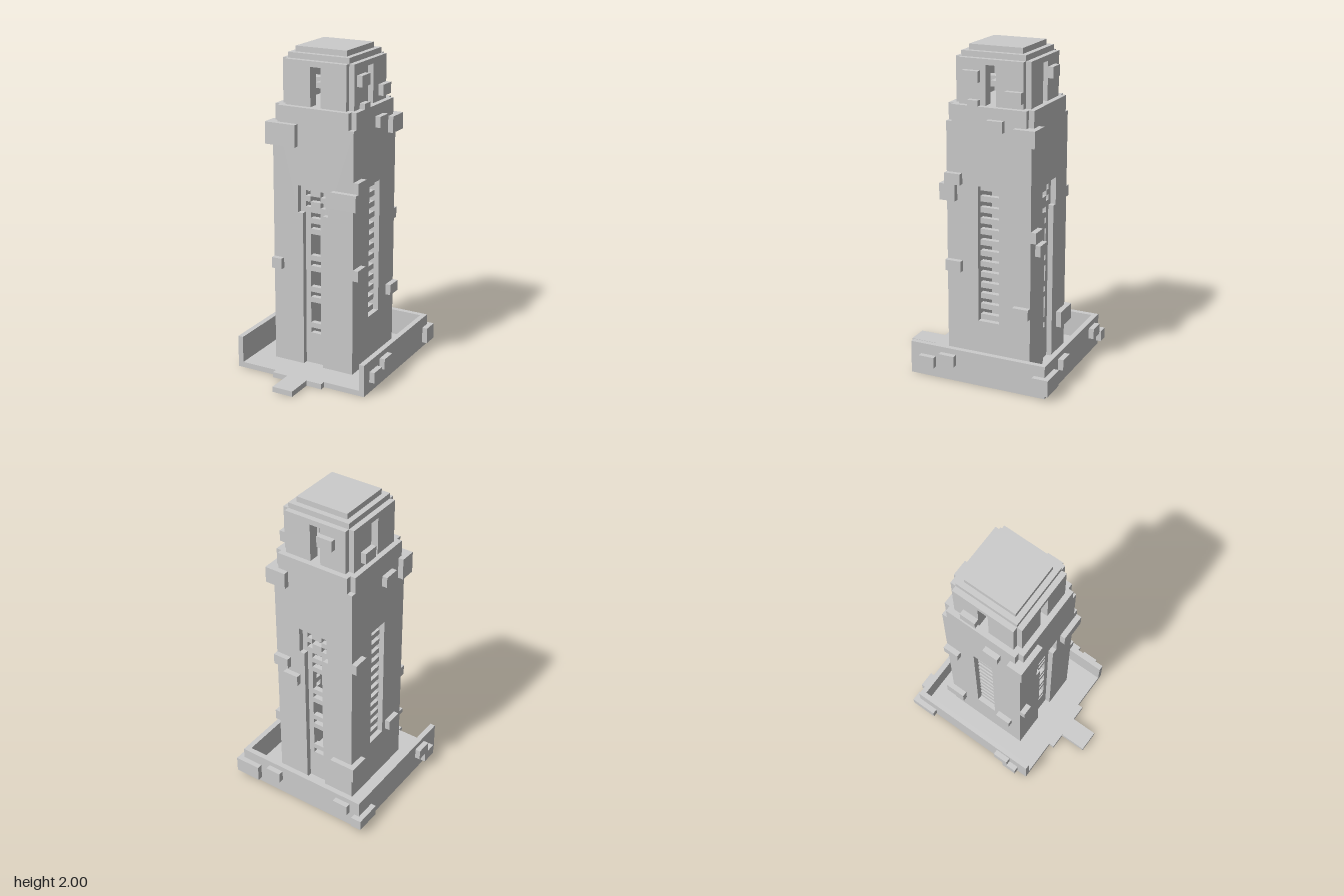
import * as THREE from 'three';

// Everything sits on a whole-number grid; the tower is 59 cells tall.
const U = 2 / 59;

export function createModel() {
  const model = new THREE.Group();
  const tower = new THREE.Group();
  tower.name = 'bellTower';
  tower.scale.setScalar(U);
  tower.position.z = -2.5 * U;
  model.add(tower);
  const material = new THREE.MeshStandardMaterial({ color: 0xcccccc, flatShading: true });

  const add = (name, geometry) => {
    const mesh = new THREE.Mesh(geometry, material);
    mesh.name = name;
    tower.add(mesh);
    return mesh;
  };
  const box = (name, x0, x1, y0, y1, z0, z1) =>
    add(name, new THREE.BoxGeometry(x1 - x0, y1 - y0, z1 - z0))
      .position.set((x0 + x1) / 2, (y0 + y1) / 2, (z0 + z1) / 2);

  const points = (list) => list.map(([x, y]) => new THREE.Vector2(x, y));
  const rect = (x0, x1, y0, y1) => [[x0, y0], [x1, y0], [x1, y1], [x0, y1]];
  // Symmetric outline from its right half, listed bottom to top
  const mirrored = (half) => [...half, ...half.map(([x, y]) => [-x, y]).reverse()];
  // One-cell-thick wall with openings, at distance d from the centre, facing a quarter turn
  const panel = (name, outline, holes, d, turn) => {
    const shape = new THREE.Shape(points(outline));
    holes.forEach((h) => shape.holes.push(new THREE.Path(points(h))));
    const g = new THREE.ExtrudeGeometry(shape, { depth: 1, bevelEnabled: false });
    g.translate(0, 0, d);
    g.rotateY(turn * Math.PI / 2);
    add(name, g);
  };

  // Base: floor, doorstep, path and low walls open at the front
  box('baseFloor', -13, 13, 0, 1, -13, 13);
  box('doorstep', -5, 5, 0, 1, 13, 14);
  box('path', -2, 2, 0, 1, 14, 19);
  box('baseBackWall', -13, 13, 1, 6, -13, -12);
  for (const x of [-13, 12]) box('baseSideWall', x, x + 1, 1, 6, -12, 13);

  // Front and back: keyhole recess in the outer skin, window grille behind it
  const keyholeSkin = mirrored([[2, 1], [8, 1], [8, 46], [7, 46], [7, 49]]);
  keyholeSkin.push([-2, 30], [-3, 30], [-3, 35], [3, 35], [3, 30], [2, 30]);
  const grille = [[7, 8], [9, 13], [14, 15], [16, 19], [20, 21], [22, 26], [27, 28], [29, 30], [32, 33]]
    .map(([a, b]) => rect(-1, 1, a, b));
  for (const y of [31, 33]) for (const x of [-2, 1]) grille.push(rect(x, x + 1, y, y + 1));
  for (const turn of [0, 2]) {
    panel('keyholeWall', keyholeSkin, [], 7, turn);
    panel('windowGrille', rect(-7, 7, 1, 49), grille, 6, turn);
  }

  // Sides: tall louvred recess
  const slots = [];
  for (let y = 11; y < 35; y += 2) slots.push(rect(-2, 2, y, y + 1));
  for (const turn of [1, 3]) {
    panel('sideWall', rect(-7, 7, 1, 49), [rect(-2, 2, 10, 35)], 7, turn);
    panel('louvres', rect(-6, 6, 1, 49), slots, 6, turn);
  }
  box('belfryFloor', -6, 6, 48, 49, -6, 6);

  // Belfry with a tall opening on each side and notched corners
  const arch = mirrored([[1, 49], [6, 49], [6, 57]]);
  arch.push([-1, 56], [1, 56]);
  const archInner = mirrored([[1, 49], [5, 49], [5, 57]]);
  archInner.push([-1, 56], [1, 56]);
  for (let turn = 0; turn < 4; turn++) {
    panel('belfryWall', arch, [], 6, turn);
    panel('belfryInnerWall', turn % 2 ? archInner : arch, [], 5, turn);
  }
  box('bellBeam', -5, 5, 52, 53, -1, 1);
  box('bellCrossBeam', -1, 1, 52, 53, -5, 5);
  box('belfryCeiling', -5, 5, 56, 57, -5, 5);
  box('roofLower', -6, 6, 57, 58, -6, 6);
  box('roofUpper', -5, 5, 58, 59, -5, 5);

  // Stones standing one cell proud of a flat wall
  const stones = [
    [8, 9, 35, 37, 5, 8], [8, 9, 19, 21, 5, 8], [-8, -6, 19, 21, 8, 9],
    [8, 9, 45, 47, -3, 0], [8, 9, 12, 14, -8, -5],
    [5, 8, 26, 28, -9, -8], [3, 6, 23, 25, -9, -8],
    [-9, -8, 30, 32, -8, -5], [-9, -8, 43, 45, 1, 4], [-9, -8, 10, 12, 3, 6],
    // belfry
    [7, 8, 53, 55, 2, 5], [7, 8, 50, 52, -6, -3], [7, 8, 49, 50, 2, 4],
    [-4, -1, 53, 55, -8, -7], [-8, -7, 50, 52, -4, -1],
    // base walls
    [-11, -8, 3, 5, -14, -13], [4, 7, 3, 5, -14, -13],
    [13, 14, 2, 4, 8, 11], [13, 14, 3, 5, 4, 7],
    [-14, -13, 3, 5, 6, 9], [-14, -13, 1, 3, 8, 11],
  ];
  stones.forEach((s) => box('wallStone', ...s));

  // Stones wrapping a corner: sides, wall distance, reach along x and z, height
  const cornerStone = (sx, sz, wall, lx, lz, y0, y1) => {
    const o = wall + 1;
    const span = (s, a, b) => (s > 0 ? [a, b] : [-b, -a]);
    box('cornerStone', ...span(sx, o - lx, o), y0, y1, ...span(sz, wall, o));
    box('cornerStone', ...span(sx, wall, o), y0, y1, ...span(sz, o - lz, wall));
  };
  cornerStone(-1, 1, 8, 6, 3, 42, 46);
  cornerStone(1, 1, 8, 5, 3, 32, 35);
  cornerStone(1, -1, 8, 4, 4, 43, 46);
  cornerStone(-1, -1, 8, 5, 4, 6, 9);
  cornerStone(-1, -1, 13, 2, 5, 1, 3);
  cornerStone(1, -1, 13, 5, 3, 1, 4);

  return model;
}
